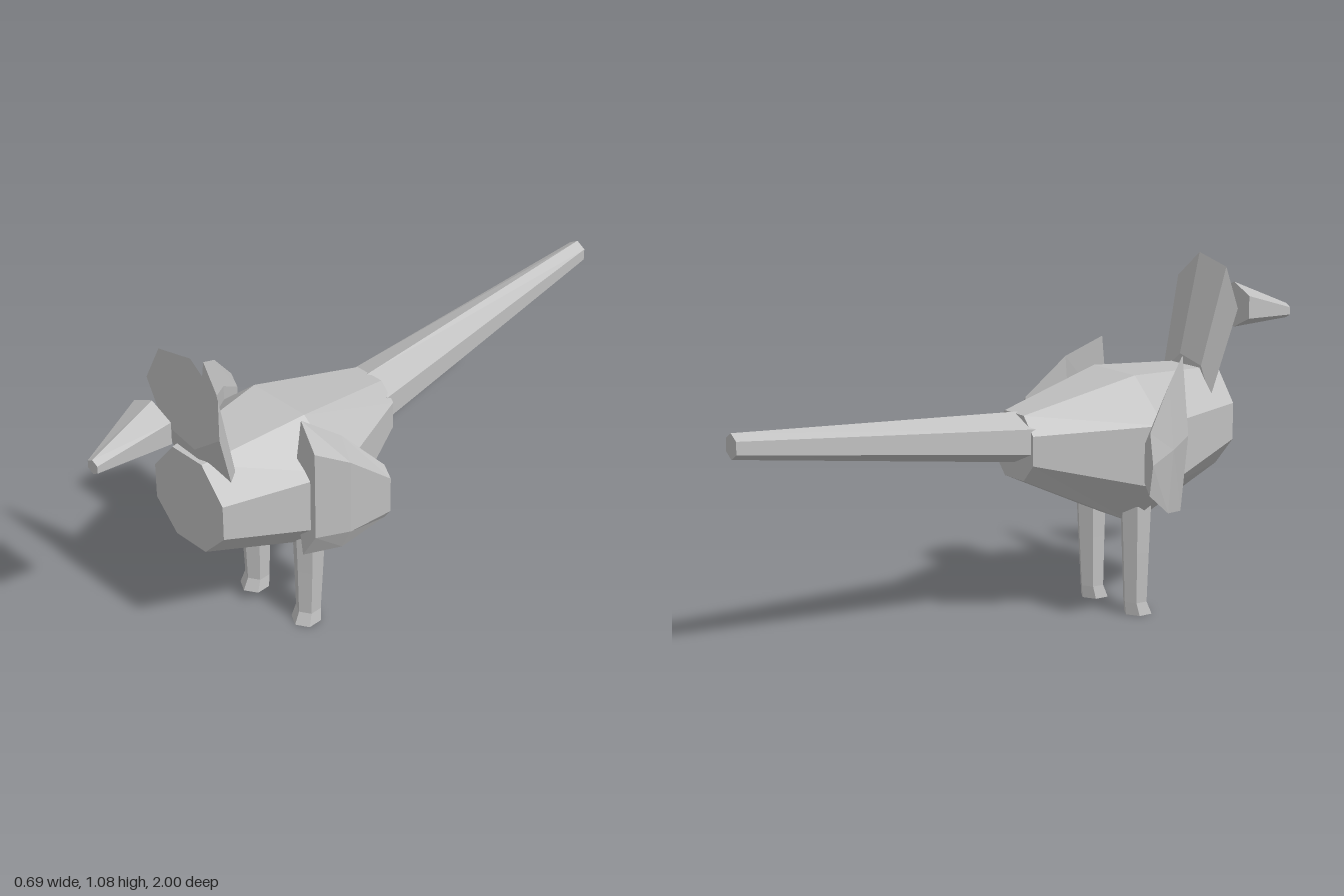
import * as THREE from 'three';

const grey = new THREE.MeshStandardMaterial({ color: 0xc0c0c0, flatShading: true });
grey.name = 'plainGrey';

// Closed faceted solid through rings of points, ordered front to back (or top to bottom)
function loft(name, rings) {
  const pos = [];
  const tri = (...pts) => pts.forEach((p) => pos.push(...p));
  const n = rings[0].length;
  for (let r = 0; r < rings.length - 1; r++) {
    const a = rings[r], b = rings[r + 1];
    for (let i = 0; i < n; i++) {
      const j = (i + 1) % n;
      tri(a[i], b[i], a[j]);
      tri(a[j], b[i], b[j]);
    }
  }
  const first = rings[0], last = rings[rings.length - 1];
  for (let i = 1; i < n - 1; i++) {
    tri(first[0], first[i], first[i + 1]);
    tri(last[0], last[i + 1], last[i]);
  }
  const geo = new THREE.BufferGeometry();
  geo.setAttribute('position', new THREE.Float32BufferAttribute(pos, 3));
  geo.computeVertexNormals();
  const mesh = new THREE.Mesh(geo, grey);
  mesh.name = name;
  return mesh;
}

// Regular polygon squashed to radii rx, ry, facing z
function ringZ(n, start, x, y, z, rx, ry) {
  return Array.from({ length: n }, (_, i) => {
    const a = start + (i / n) * Math.PI * 2;
    return [x + Math.cos(a) * rx, y + Math.sin(a) * ry, z];
  });
}

// Hexagon facing y, with one corner to the front
function ringY(x, y, z, r) {
  return Array.from({ length: 6 }, (_, i) => {
    const a = Math.PI / 2 + (i / 6) * Math.PI * 2;
    return [x + Math.cos(a) * r, y, z - Math.sin(a) * r];
  });
}

// Octagon with separate top, shoulder and belly measures
function bodyRing(z, w, t, top, high, low, bottom) {
  return [
    [w, low, z], [w, high, z], [t, top, z], [-t, top, z],
    [-w, high, z], [-w, low, z], [-t, bottom, z], [t, bottom, z],
  ];
}

export function createModel() {
  const model = new THREE.Group();
  model.name = 'bird';

  // Barrel body
  model.add(loft('body', [
    bodyRing(0.67, 0.143, 0.061, 0.73, 0.625, 0.51, 0.42),
    bodyRing(0.315, 0.252, 0.105, 0.745, 0.615, 0.42, 0.285),
    bodyRing(-0.055, 0.1, 0.05, 0.655, 0.6, 0.51, 0.455),
  ]));

  // Long tail
  model.add(loft('tail', [
    ringZ(6, Math.PI / 2, 0, 0.58, -0.04, 0.104, 0.078),
    ringZ(6, Math.PI / 2, 0, 0.673, -1, 0.035, 0.038),
  ]));

  // Flat head slanting back into the neck
  model.add(loft('head', [
    ringZ(7, Math.PI, 0, 0.923, 0.67, 0.157, 0.157),
    ringZ(7, Math.PI, 0, 0.645, 0.592, 0.125, 0.122),
  ]));

  // Beak, set ahead of the head
  model.add(loft('beak', [
    ringZ(6, Math.PI / 2, 0, 0.866, 1, 0.023, 0.023),
    ringZ(6, Math.PI / 2, 0, 0.905, 0.783, 0.087, 0.072),
  ]));

  for (const [side, s] of [['left', 1], ['right', -1]]) {
    // Wing: five-sided slab sweeping outward and back
    model.add(loft(side + 'Wing', [
      ringZ(5, Math.PI, s * 0.204, 0.574, 0.408, 0.048, 0.253),
      ringZ(5, Math.PI, s * 0.267, 0.55, 0.315, 0.033, 0.21),
      ringZ(5, Math.PI, s * 0.324, 0.525, 0.203, 0.023, 0.1),
    ]));

    // Leg with a small flared foot
    model.add(loft(side + 'Leg', [
      ringY(s * 0.116, 0.35, 0.315, 0.051),
      ringY(s * 0.115, 0.2, 0.316, 0.045),
      ringY(s * 0.113, 0.04, 0.318, 0.039),
      ringY(s * 0.114, 0, 0.329, 0.046),
    ]));
  }
  return model;
}
